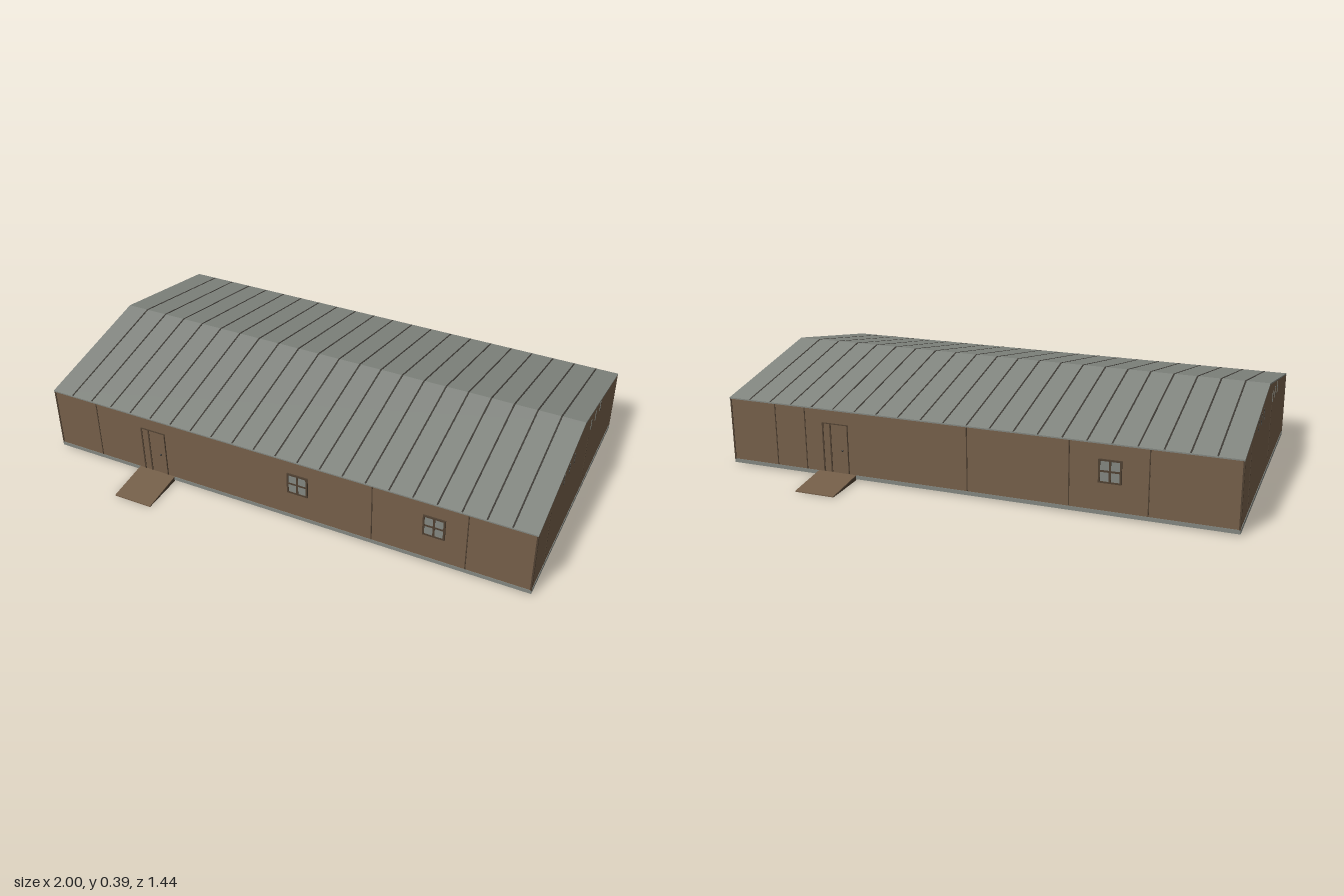
import * as THREE from 'three';

const mat = (name, color) => Object.assign(new THREE.MeshStandardMaterial({ color }), { name });

const W = 1, D = 0.545;                 // half length and half depth
const EAVE = 0.277, RIDGE = 0.387, FLOOR = 0.022;

export function createModel() {
  const brown = mat('wall brown', 0x755f49);
  const grey = mat('metal grey', 0x828680);
  const dark = mat('seam dark', 0x3d3a35);
  const trim = mat('trim brown', 0x4f4031);
  const model = new THREE.Group();
  model.name = 'longBarn';

  const add = (parent, name, geo, m, x = 0, y = 0, z = 0) => {
    const mesh = new THREE.Mesh(geo, m);
    mesh.name = name;
    mesh.position.set(x, y, z);
    parent.add(mesh);
    return mesh;
  };
  const box = (parent, name, m, w, h, d, x, y, z) =>
    add(parent, name, new THREE.BoxGeometry(w, h, d), m, x, y, z);
  // Extrude a (z, y) outline along x, centred on x = 0
  const extrudeX = (points, length) => {
    const shape = new THREE.Shape(points.map(([z, y]) => new THREE.Vector2(-z, y)));
    return new THREE.ExtrudeGeometry(shape, { depth: length, bevelEnabled: false })
      .translate(0, 0, -length / 2).rotateY(Math.PI / 2);
  };

  // Floor slab and gabled wall body
  box(model, 'baseSlab', grey, 2 * W, FLOOR - 0.007, 2 * D, 0, (FLOOR + 0.007) / 2, 0);
  add(model, 'walls', extrudeX([[-D + 0.002, FLOOR], [D - 0.002, FLOOR], [D - 0.002, EAVE - 0.004],
    [0, RIDGE - 0.004], [-D + 0.002, EAVE - 0.004]], 2 * W - 0.004), brown);

  // Thin metal roof
  add(model, 'roof', extrudeX([[-D - 0.003, EAVE - 0.005], [0, RIDGE - 0.006], [D + 0.003, EAVE - 0.005],
    [D + 0.003, EAVE], [0, RIDGE], [-D - 0.003, EAVE]], 2 * W), grey);

  // Narrow seams between the roof panels
  const slope = Math.atan2(RIDGE - EAVE, D);
  const run = Math.hypot(RIDGE - EAVE, D);
  for (const s of [1, -1]) {
    for (let i = 1; i < 22; i++) {
      const seam = box(model, 'roofSeam', dark, 0.006, 0.002, run,
        -W + i * 2 * W / 22, (EAVE + RIDGE) / 2, s * D / 2);
      seam.rotation.x = s * slope;
    }
  }

  // Corner posts
  for (const x of [-1, 1]) for (const z of [-1, 1])
    box(model, 'cornerPost', trim, 0.006, EAVE - FLOOR - 0.006, 0.006,
      x * (W - 0.003), (EAVE + FLOOR - 0.006) / 2, z * (D - 0.003));

  // Gable vent slits and end wall seams
  for (const s of [1, -1]) {
    for (const z of [0.115, 0.18, 0.25]) for (const m of [1, -1]) {
      const h = 0.045;
      box(model, 'gableVent', grey, 0.003, h, 0.004, s * (W - 0.0015), 0.28 + h / 2, m * z);
      box(model, 'gableVentEdge', dark, 0.003, h, 0.003, s * (W - 0.0015), 0.28 + h / 2, m * (z + 0.004));
    }
    for (const z of [0.4, -0.09])
      box(model, 'endWallSeam', trim, 0.003, EAVE - FLOOR - 0.006, 0.003,
        s * (W - 0.0015), (EAVE + FLOOR) / 2, s * z);
  }

  // A paned window in a wall facing local +z
  const windowUnit = (parent, x) => {
    const g = new THREE.Group();
    g.name = 'window';
    g.position.set(x, 0.172, D);
    parent.add(g);
    for (const s of [1, -1]) {
      box(g, 'windowSide', trim, 0.007, 0.086, 0.008, s * 0.039, 0, 0);
      box(g, 'windowRail', trim, 0.085, 0.006, 0.008, 0, s * 0.041, 0);
    }
    box(g, 'glass', grey, 0.075, 0.08, 0.003, 0, 0, 0);
    box(g, 'mullion', trim, 0.008, 0.08, 0.006, 0, 0, 0);
    box(g, 'crossbar', trim, 0.075, 0.007, 0.006, 0, 0, 0);
  };

  // Door, ramp, windows and seams of one long wall
  const longSide = (name, windows, seams) => {
    const g = new THREE.Group();
    g.name = name;
    model.add(g);
    windows.forEach((x) => windowUnit(g, x));
    seams.forEach((x) => box(g, 'wallSeam', trim, 0.004, EAVE - FLOOR - 0.008, 0.003,
      x, (EAVE + FLOOR - 0.006) / 2, D - 0.002));

    box(g, 'door', brown, 0.1, 0.19, 0.004, -0.54, 0.122, D - 0.002);
    for (const x of [-0.592, -0.56, -0.488])
      box(g, 'doorStrip', trim, x < -0.5 ? 0.006 : 0.003, 0.195, 0.006, x, 0.122, D - 0.001);
    box(g, 'doorHead', trim, 0.106, 0.003, 0.006, -0.54, 0.219, D - 0.001);
    add(g, 'doorKnob', new THREE.SphereGeometry(0.004, 8, 6), dark, -0.51, 0.117, D + 0.003);

    // Sloping ramp deck carried on wedge stringers
    add(g, 'rampDeck', extrudeX([[D - 0.002, 0.017], [0.72, 0], [0.72, 0.004], [D - 0.002, 0.0225]], 0.16),
      brown, -0.54);
    for (const x of [-0.617, -0.565, -0.515, -0.463])
      add(g, 'rampStringer', extrudeX([[D - 0.002, 0.002], [0.715, 0], [D - 0.002, 0.019]], 0.006), trim, x);
    return g;
  };
  longSide('frontSide', [0.09, 0.63], [-0.8, 0.39, 0.754]);
  longSide('backSide', [0.54], [-0.8, -0.67, 0, 0.39, 0.68]).rotation.y = Math.PI;

  return model;
}
